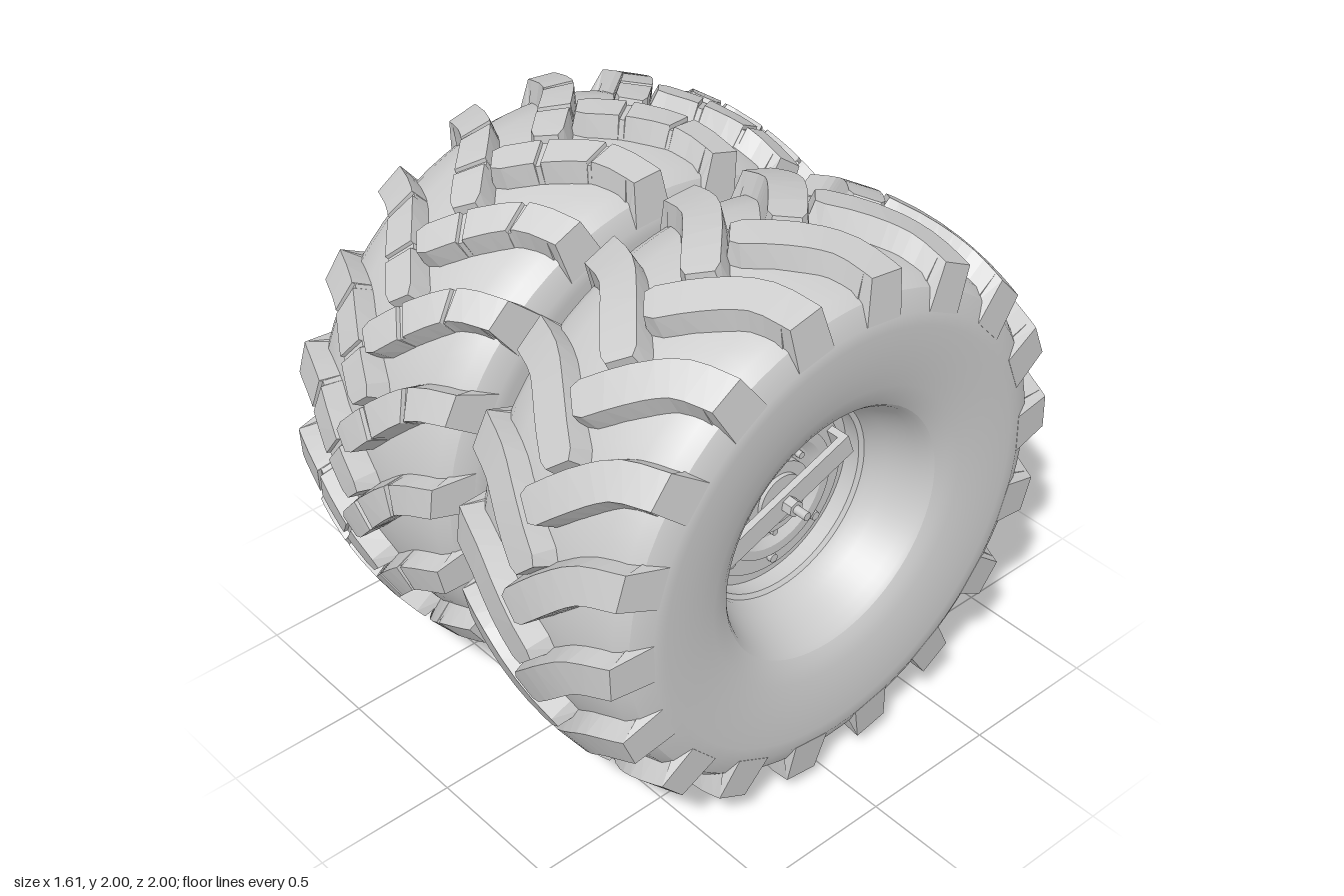
import * as THREE from 'three';
import { mergeGeometries, toCreasedNormals } from 'three/addons/utils/BufferGeometryUtils.js';

const grey = new THREE.MeshStandardMaterial({ color: 0xcccccc });
const facet = new THREE.MeshStandardMaterial({ color: 0xcccccc, flatShading: true });
const LUGS = 18;

function add(parent, name, geometry, material = grey) {
  const mesh = new THREE.Mesh(geometry, material);
  mesh.name = name;
  parent.add(mesh);
}

// Revolves [radius, x] points around the x axis
function lathe(points, crease = 0.6) {
  const g = new THREE.LatheGeometry(points.map(([r, x]) => new THREE.Vector2(r, x)), 72);
  g.rotateZ(-Math.PI / 2);
  return toCreasedNormals(g, crease);
}

// Cylinder along x, from x0 to x1, centred at (y, z)
function rod(r, x0, x1, y = 0, z = 0, sides = 16) {
  return new THREE.CylinderGeometry(r, r, x1 - x0, sides)
    .rotateZ(-Math.PI / 2).translate((x0 + x1) / 2, y, z);
}

function ringOfRods(count, ringR, r, x0, x1) {
  const parts = [];
  for (let i = 0; i < count; i++) {
    const a = (i / count) * Math.PI * 2;
    parts.push(rod(r, x0, x1, ringR * Math.cos(a), ringR * Math.sin(a), 10));
  }
  return mergeGeometries(parts);
}

// Centre line of a tread bar: x = distance from the tyre centre, y = angle round the tyre
const lugPath = new THREE.SplineCurve([
  [-0.03, 0], [0.06, 0.09], [0.15, 0.175], [0.235, 0.235], [0.36, 0.27],
].map(([u, s]) => new THREE.Vector2(u, s)));

// One tread bar, lofted through four-cornered cross-sections and folded over the shoulder
function lug(side, phase, halfWidth, notched) {
  const stations = [[0, 0], [0.08, 0], [0.22, 0], [0.36, 0], [0.5, 0], [0.6, 0], [0.72, 0], [0.82, 0], [0.92, 0], [1, 0]];
  if (notched) {
    // Shallow slots across the top: [position along the bar, depth]
    for (const c of [0.29, 0.66]) {
      stations.push([c - 0.022, 0], [c - 0.016, 0.014], [c + 0.016, 0.014], [c + 0.022, 0]);
    }
    stations.sort((a, b) => a[0] - b[0]);
  }
  const pos = [], index = [];
  const put = (u, r, s) => pos.push(side * u, r * Math.sin(phase + s), r * Math.cos(phase + s));
  const top = (u) => 1 - 0.064 * (u / 0.358) ** 2;
  const base = (u) => 0.9 - 0.08 * (u / 0.36) ** 2;
  const sweep = notched ? 1.12 : 1;

  for (const [t, cut] of stations) {
    const p = lugPath.getPoint(t), d = lugPath.getTangent(t);
    const n = new THREE.Vector2(-d.y * (1 - t), d.x).normalize();
    const w = halfWidth * (1 + 0.15 * t) * (t === 0 ? 0.75 : 1);
    const back = t === 0 ? 0.025 : 0;
    for (const [sign, low] of [[1, 0], [-1, 0], [-1, 1], [1, 1]]) {
      const k = sign * w * (low ? 1.35 : 1);
      const u = Math.min(p.x + n.x * k - (low ? d.x * back : 0), low ? 0.33 : 0.358);
      const s = p.y * sweep + n.y * k - (low ? d.y * back : 0);
      put(u, low ? base(u) : top(u) - cut, s);
    }
  }
  // Wide foot of the bar, flush with the sidewall
  const foot = lugPath.getPoint(1).y * sweep;
  put(0.379, 0.785, foot + 0.09);
  put(0.379, 0.785, foot - 0.09);
  put(0.34, 0.775, foot - 0.1);
  put(0.34, 0.775, foot + 0.1);

  const tri = (a, b, c) => (side > 0 ? index.push(a, b, c) : index.push(a, c, b));
  const quad = (a, b, c, d) => { tri(a, b, c); tri(a, c, d); };
  const last = stations.length * 4;
  for (let i = 0; i < last; i += 4) {
    for (let k = 0; k < 4; k++) {
      const m = (k + 1) % 4;
      quad(i + k, i + m, i + 4 + m, i + 4 + k);
    }
  }
  quad(0, 3, 2, 1);
  quad(last, last + 1, last + 2, last + 3);
  const g = new THREE.BufferGeometry();
  g.setAttribute('position', new THREE.Float32BufferAttribute(pos, 3));
  g.setIndex(index);
  const flat = g.toNonIndexed();
  flat.computeVertexNormals();
  return flat;
}

function wheel(name, x, halfWidth, notched, phaseRight, phaseLeft) {
  const group = new THREE.Group();
  group.name = name;
  group.position.x = x;

  // Tyre carcass, mirrored about its middle
  const half = [[0.45, 0.325], [0.48, 0.342], [0.53, 0.357], [0.6, 0.369], [0.67, 0.377],
    [0.74, 0.379], [0.785, 0.378], [0.85, 0.345], [0.88, 0.305], [0.9, 0.22], [0.917, 0.11]];
  const profile = [...half.map(([r, u]) => [r, -u]), [0.922, 0], ...half.slice().reverse()];
  add(group, 'tyre', lathe(profile, 0.45));

  // Tread bars, staggered between the two sides
  const bars = [];
  for (let i = 0; i < LUGS; i++) {
    const a = (i / LUGS) * Math.PI * 2;
    bars.push(lug(1, a + phaseRight, halfWidth, notched), lug(-1, a + phaseLeft, halfWidth, notched));
  }
  add(group, 'treadBars', mergeGeometries(bars), facet);

  // Rim barrel with its flange, open on both sides
  const rimHalf = [[0.45, 0.325], [0.437, 0.31], [0.42, 0.275], [0.4, 0.23], [0.378, 0.18], [0.36, 0.13],
    [0.36, 0.1], [0.345, 0.09], [0.345, 0.03]];
  add(group, 'rimOuterSide', lathe(rimHalf));
  add(group, 'rimInnerSide', lathe(rimHalf.slice().reverse().map(([r, u]) => [r, -u])));
  return group;
}

export function createModel() {
  const model = new THREE.Group();
  model.name = 'dualWheel';
  const axle = new THREE.Group();
  axle.name = 'wheelAssembly';
  axle.position.y = 1;
  model.add(axle);

  const outer = wheel('outerWheel', 0.42, 0.058, false, 0.045, -0.13);
  const inner = wheel('innerWheel', -0.43, 0.05, true, 0.175, 0);
  axle.add(outer, inner);

  // Stepped wheel disc and hub of the outer wheel
  add(outer, 'wheelDisc', lathe([[0, -0.03], [0.345, -0.03], [0.345, 0.03], [0.31, 0.03], [0.3, 0.05],
    [0.235, 0.05], [0.235, 0.07], [0.2, 0.07], [0.17, 0.05], [0.13, 0.05], [0.13, 0.08], [0.09, 0.08],
    [0.09, 0.095], [0, 0.095]], 0.4));
  add(outer, 'discBolts', ringOfRods(8, 0.26, 0.016, 0.04, 0.068));
  add(outer, 'hubBolts', ringOfRods(8, 0.15, 0.012, 0.04, 0.07));

  // Clamp bar bridging the hub, with its legs and centre nut
  const clamp = new THREE.Group();
  clamp.name = 'clamp';
  clamp.rotation.x = 0.35;
  outer.add(clamp);
  add(clamp, 'clampBar', new THREE.BoxGeometry(0.025, 0.08, 0.58).translate(0.11, 0, 0));
  for (const s of [-1, 1]) {
    add(clamp, 'clampLeg', new THREE.BoxGeometry(0.06, 0.08, 0.025).translate(0.075, 0, s * 0.277));
  }
  add(clamp, 'clampNut', rod(0.03, 0.1, 0.16, 0, 0, 6), facet);
  add(clamp, 'clampStud', rod(0.015, 0.15, 0.21));

  // Drum and back plate inside the inner wheel
  add(axle, 'hubDrum', rod(0.29, -0.76, -0.4, 0, 0, 64));
  add(axle, 'innerDisc', rod(0.347, -0.46, -0.4, 0, 0, 64));

  // Spacer ring between the wheels, with four round plugs
  add(axle, 'spacer', rod(0.43, -0.16, 0.15, 0, 0, 72));
  for (let i = 0; i < 4; i++) {
    const plug = new THREE.CylinderGeometry(0.03, 0.03, 0.02, 20).translate(0, 0.423, 0);
    plug.rotateX(0.38 + i * Math.PI / 2);
    add(axle, 'spacerPlug', plug.translate(-0.005, 0, 0));
  }
  return model;
}
